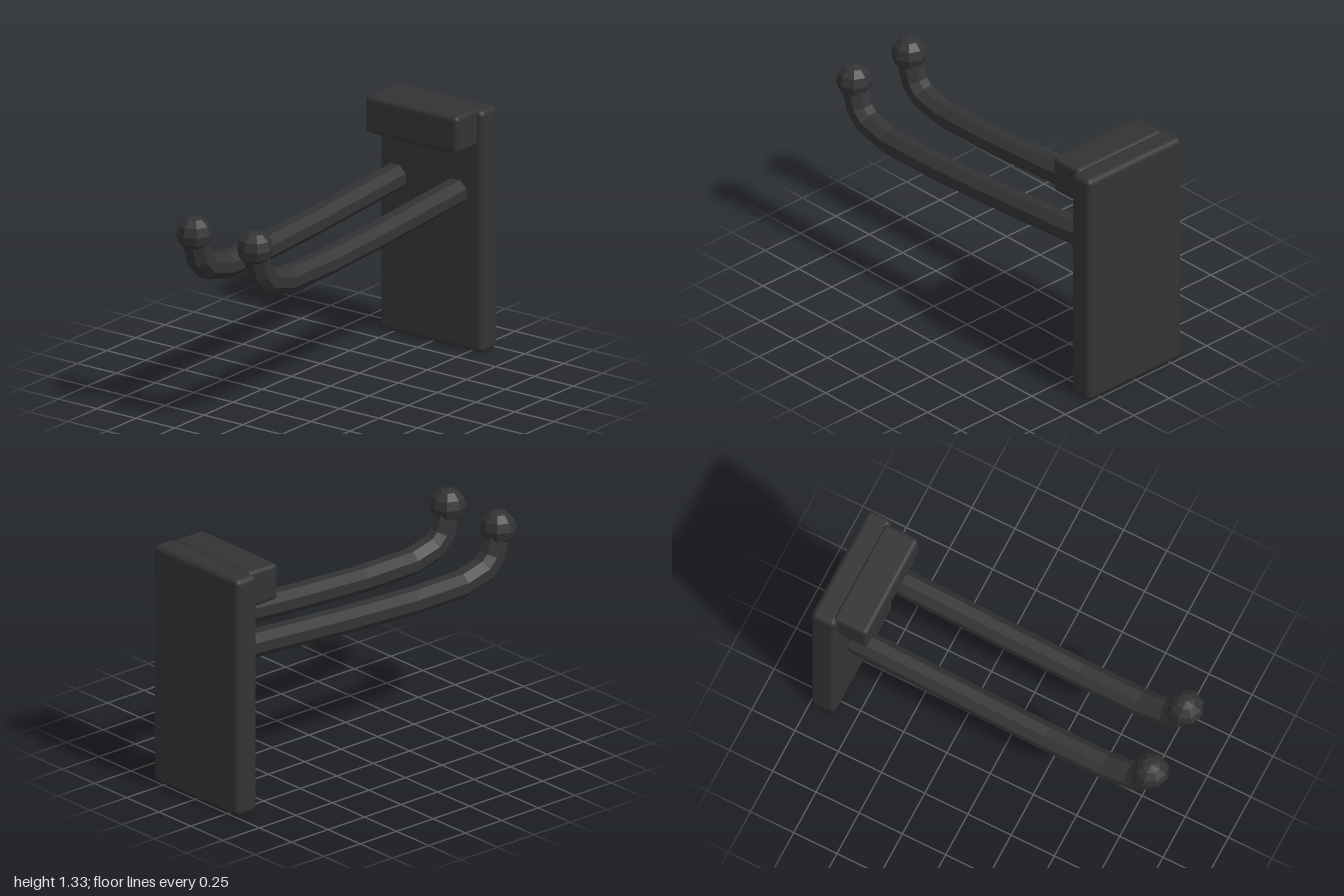
import * as THREE from 'three';
import { RoundedBoxGeometry } from 'three/addons/geometries/RoundedBoxGeometry.js';

const black = new THREE.MeshStandardMaterial({ color: 0x333333 });
black.name = 'black plastic';
const facetedBlack = black;

function part(name, geometry, parent, x = 0, y = 0, z = 0) {
  const mesh = new THREE.Mesh(geometry, facetedBlack);
  mesh.name = name;
  mesh.position.set(x, y, z);
  parent.add(mesh);
  return mesh;
}

// flat facets without a second material
function faceted(geometry) {
  const g = geometry.toNonIndexed();
  g.computeVertexNormals();
  return g;
}

// prong centre line as [z, y], from the plate to the ball
const path = [[-0.82, 0.875], [-0.12, 0.826], [0.3, 0.804], [0.645, 0.804],
  [0.8, 0.843], [0.862, 0.905], [0.905, 1.04]];

// capped octagonal cylinder bent along the path
function prongGeometry(radius) {
  const last = path.length - 1;
  const g = new THREE.CylinderGeometry(radius, radius, 1, 8, last, false, Math.PI / 8);
  const pos = g.attributes.position;
  for (let i = 0; i < pos.count; i++) {
    const k = Math.round((pos.getY(i) + 0.5) * last);
    const a = path[Math.max(k - 1, 0)], b = path[Math.min(k + 1, last)];
    const t = new THREE.Vector2(b[0] - a[0], b[1] - a[1]).normalize();
    const s = pos.getZ(i);
    pos.setXYZ(i, pos.getX(i), path[k][1] - t.x * s, path[k][0] + t.y * s);
  }
  return faceted(g);
}

export function createModel() {
  const model = new THREE.Group();
  model.name = 'wallHook';

  // back plate and the block across its top
  part('backPlate', new RoundedBoxGeometry(0.66, 1.32, 0.14, 2, 0.03), model, 0, 0.662, -0.93);
  part('topBlock', new RoundedBoxGeometry(0.594, 0.204, 0.2, 2, 0.025), model, 0, 1.228, -0.79);

  // two upturned prongs with ball tips
  for (const side of [1, -1]) {
    const prong = new THREE.Group();
    prong.name = side > 0 ? 'leftProng' : 'rightProng';
    prong.position.x = side * 0.195;
    model.add(prong);
    part('prongRod', prongGeometry(0.073), prong);
    part('ballTip', faceted(new THREE.SphereGeometry(0.095, 8, 6)), prong, 0, 1.05, 0.905);
  }
  return model;
}
